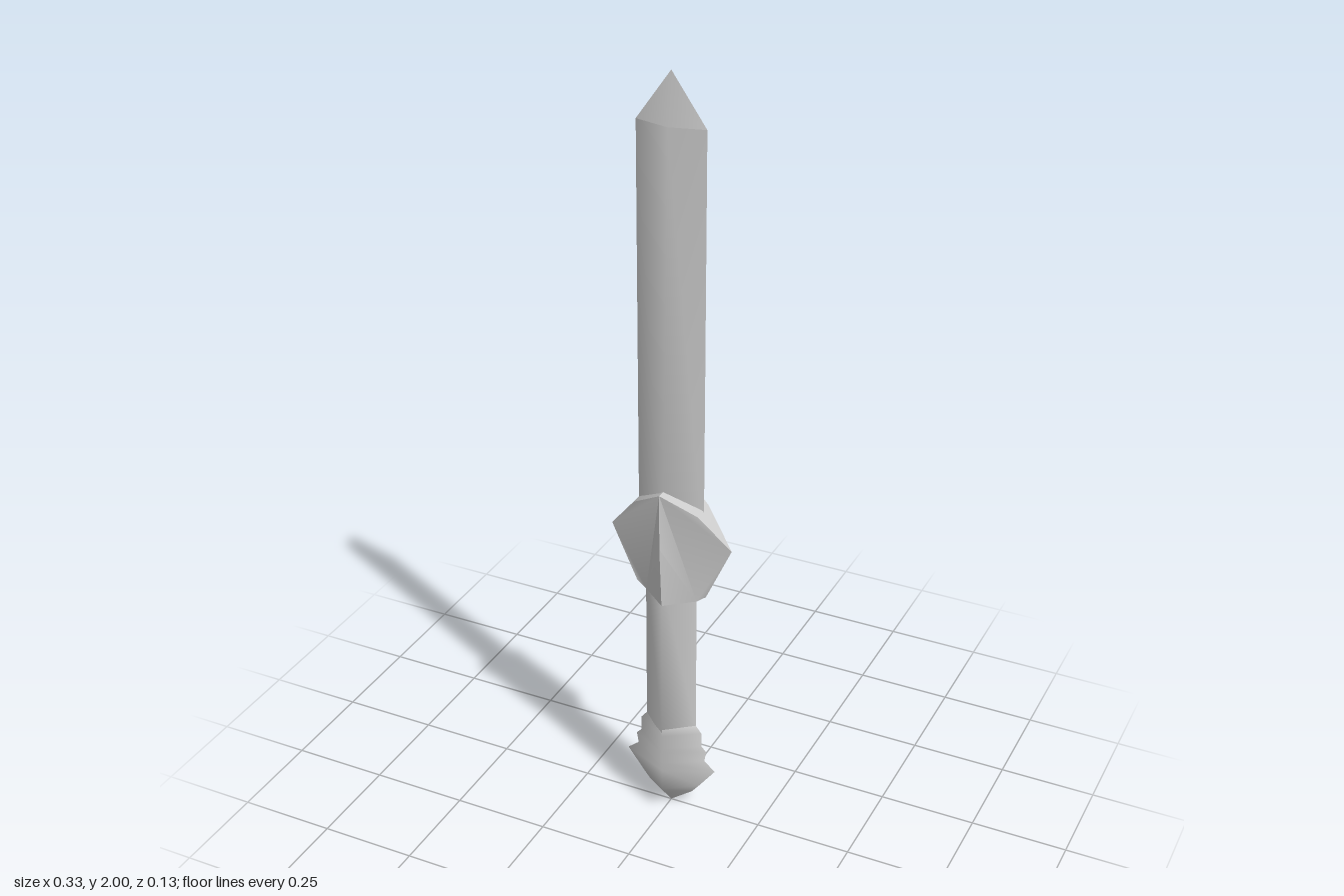
import * as THREE from 'three';
import { mergeGeometries, toCreasedNormals } from 'three/addons/utils/BufferGeometryUtils.js';

const material = new THREE.MeshStandardMaterial({ color: 0xcccccc });

// Diamond cross-sections [y, half width, half depth], listed from bottom to top
function diamondLoft(sections, crease = 1.4) {
  const positions = [], index = [];
  for (const [y, w, d] of sections) {
    positions.push(w, y, 0, 0, y, d, -w, y, 0, 0, y, -d);
  }
  for (let s = 0; s < sections.length - 1; s++) {
    for (let i = 0; i < 4; i++) {
      const a = s * 4 + i, b = s * 4 + (i + 1) % 4;
      index.push(a, b + 4, b, a, a + 4, b + 4);
    }
  }
  const top = (sections.length - 1) * 4;
  index.push(0, 1, 2, 0, 2, 3, top, top + 2, top + 1, top, top + 3, top + 2);
  const geometry = new THREE.BufferGeometry();
  geometry.setAttribute('position', new THREE.Float32BufferAttribute(positions, 3));
  // Sections wind from +x to +z, so reverse every triangle to face outwards
  for (let i = 0; i < index.length; i += 3) {
    const isCap = i >= index.length - 12;
    if (!isCap) continue;
    [index[i + 1], index[i + 2]] = [index[i + 2], index[i + 1]];
  }
  for (let i = 0; i < index.length; i += 3) {
    [index[i + 1], index[i + 2]] = [index[i + 2], index[i + 1]];
  }
  geometry.setIndex(index);
  outward(geometry);
  return toCreasedNormals(geometry, crease);
}

// Flip the winding if the enclosed volume comes out negative
function outward(geometry) {
  const p = geometry.attributes.position, index = geometry.index.array;
  const v = [0, 1, 2].map(() => new THREE.Vector3());
  let volume = 0;
  for (let i = 0; i < index.length; i += 3) {
    v.forEach((corner, k) => corner.fromBufferAttribute(p, index[i + k]));
    volume += v[0].dot(v[1].cross(v[2]));
  }
  if (volume < 0) geometry.setIndex(Array.from(index).reverse());
}

// Guard: half outline extruded, then thinned to a diamond section
function guardGeometry() {
  const outline = [[0, 0.64], [0.07, 0.64], [0.095, 0.66], [0.163, 0.81], [0.085, 0.905], [0, 0.96], [0, 0.81]];
  const shape = new THREE.Shape(outline.map(([x, y]) => new THREE.Vector2(x, y)));
  const half = new THREE.ExtrudeGeometry(shape, { depth: 1, bevelEnabled: false });
  const p = half.attributes.position;
  const { mapLinear, clamp } = THREE.MathUtils;
  for (let i = 0; i < p.count; i++) {
    const x = p.getX(i), y = p.getY(i);
    const width = y < 0.66 ? mapLinear(y, 0.64, 0.66, 0.07, 0.095)
      : mapLinear(Math.min(y, 0.81), 0.66, 0.81, 0.095, 0.163);
    const depth = mapLinear(clamp(y, 0.64, 0.81), 0.64, 0.81, 0.056, 0.067);
    const z = depth * Math.max(0, 1 - x / width);
    p.setZ(i, p.getZ(i) > 0.5 ? z : -z);
  }
  const otherHalf = half.clone().rotateY(Math.PI);
  return toCreasedNormals(mergeGeometries([half, otherHalf]), 0.85);
}

export function createModel() {
  const model = new THREE.Group();
  model.name = 'sword';
  const add = (name, geometry) => {
    const mesh = new THREE.Mesh(geometry, material);
    mesh.name = name;
    model.add(mesh);
  };

  add('blade', diamondLoft([[0.8, 0.088, 0.049], [1.875, 0.088, 0.022]]));
  add('bladeTip', diamondLoft([[1.875, 0.088, 0.022], [2, 0, 0]]));
  add('guard', guardGeometry());
  add('grip', diamondLoft([[0.25, 0.07, 0.055], [0.72, 0.07, 0.055]]));
  // Stepped collar flaring into a pointed pommel
  add('pommel', diamondLoft([
    [0, 0, 0], [0.045, 0.06, 0.035], [0.07, 0.08, 0.055], [0.13, 0.125, 0.055],
    [0.155, 0.095, 0.055], [0.185, 0.1, 0.055], [0.2, 0.086, 0.055],
    [0.24, 0.086, 0.055], [0.26, 0.07, 0.055],
  ]));
  return model;
}
